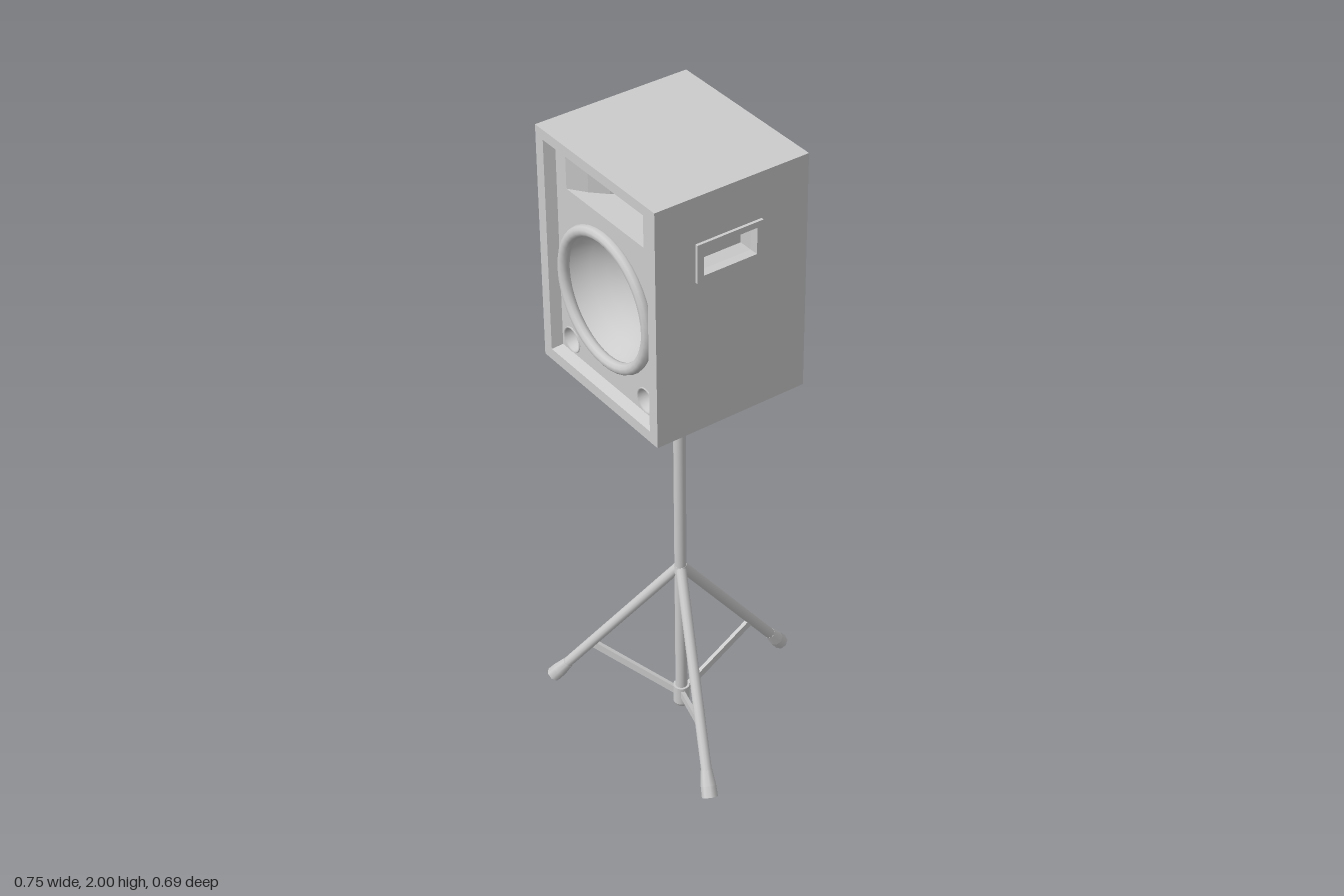
import * as THREE from 'three';

const material = new THREE.MeshStandardMaterial({ color: 0xcccccc, side: THREE.DoubleSide });

function add(parent, name, geometry, x = 0, y = 0, z = 0) {
  const mesh = new THREE.Mesh(geometry, material);
  mesh.name = name;
  mesh.position.set(x, y, z);
  parent.add(mesh);
  return mesh;
}

function rectPath(path, cx, cy, w, h) {
  path.moveTo(cx - w / 2, cy - h / 2);
  path.lineTo(cx + w / 2, cy - h / 2);
  path.lineTo(cx + w / 2, cy + h / 2);
  path.lineTo(cx - w / 2, cy + h / 2);
  path.closePath();
  return path;
}

// Flat panel with holes, thickness along +z
function panel(cx, cy, w, h, depth, holes) {
  const shape = rectPath(new THREE.Shape(), cx, cy, w, h);
  shape.holes.push(...holes);
  return new THREE.ExtrudeGeometry(shape, { depth, bevelEnabled: false, curveSegments: 24 });
}

const rectHole = (cx, cy, w, h) => rectPath(new THREE.Path(), cx, cy, w, h);
const roundHole = (cx, cy, r) => new THREE.Path().absarc(cx, cy, r, 0, Math.PI * 2, true);

// Rectangular funnel through sections [width, height, z], optionally closed at the end
function funnel(sections, closed) {
  const corners = sections.map(([w, h, z]) =>
    [[-1, -1], [1, -1], [1, 1], [-1, 1]].map(([i, j]) => [i * w / 2, j * h / 2, z]));
  const p = [];
  const quad = (a, b, c, d) => p.push(...a, ...b, ...c, ...a, ...c, ...d);
  for (let s = 0; s < corners.length - 1; s++) {
    for (let i = 0; i < 4; i++) {
      const j = (i + 1) % 4;
      quad(corners[s][j], corners[s][i], corners[s + 1][i], corners[s + 1][j]);
    }
  }
  if (closed) quad(...corners[corners.length - 1]);
  const g = new THREE.BufferGeometry();
  g.setAttribute('position', new THREE.Float32BufferAttribute(p, 3));
  g.computeVertexNormals();
  return g;
}

// Lathe facing +z from [radius, z] points
function dish(points, segments) {
  return new THREE.LatheGeometry(points.map(([r, z]) => new THREE.Vector2(r, z)), segments)
    .rotateX(Math.PI / 2);
}

// Cylinder or cone between two points
function rod(parent, name, a, b, ra, rb, sides = 12) {
  const dir = b.clone().sub(a);
  const mesh = add(parent, name, new THREE.CylinderGeometry(rb, ra, dir.length(), sides));
  mesh.position.copy(a).lerp(b, 0.5);
  mesh.quaternion.setFromUnitVectors(new THREE.Vector3(0, 1, 0), dir.normalize());
  return mesh;
}

const CX = -0.0225, W = 0.535, Y0 = 1.27, H = 0.73, CY = Y0 + H / 2;
const BACK = -0.135, FRONT = 0.35, D = FRONT - BACK, CZ = (FRONT + BACK) / 2;
const T = 0.015, BAFFLE = 0.32;
const HANDLE_Y = 1.803, HANDLE_Z = 0.12;

function createCabinet() {
  const g = new THREE.Group();
  g.name = 'cabinet';

  // Outer panels
  add(g, 'topPanel', new THREE.BoxGeometry(W, T, D), CX, Y0 + H - T / 2, CZ);
  add(g, 'bottomPanel', new THREE.BoxGeometry(W, T, D), CX, Y0 + T / 2, CZ);
  add(g, 'backPanel', new THREE.BoxGeometry(W, H, T), CX, CY, BACK + T / 2);
  for (const [name, x] of [['leftPanel', CX + W / 2 - T], ['rightPanel', CX - W / 2]]) {
    const side = panel(-CZ, CY, D, H, T, [rectHole(-HANDLE_Z, HANDLE_Y, 0.17, 0.08)]);
    add(g, name, side.rotateY(Math.PI / 2), x);
  }

  // Front frame with a sloped inner edge
  add(g, 'frontFrame', panel(CX, CY, W, H, 0.01, [rectHole(CX, 1.637, 0.466, 0.665)]), 0, 0, FRONT - 0.01);
  add(g, 'frameBevel', funnel([[0.466, 0.665, FRONT], [0.442, 0.642, BAFFLE]], false), CX, 1.637);

  // Baffle with openings for horn, woofer and ports
  const ports = [CX - 0.174, CX + 0.174];
  add(g, 'baffle', panel(CX, 1.637, 0.48, 0.68, 0.01, [
    rectHole(CX, 1.892, 0.35, 0.106),
    roundHole(CX, 1.585, 0.195),
    ...ports.map(x => roundHole(x, 1.357, 0.035)),
  ]), 0, 0, BAFFLE - 0.01);

  // Flared horn
  add(g, 'horn', funnel([
    [0.35, 0.106, 0], [0.25, 0.104, -0.035], [0.165, 0.102, -0.075],
    [0.11, 0.1, -0.12], [0.085, 0.098, -0.17],
  ], true), CX, 1.892, BAFFLE);

  // Woofer rim and cone
  const rim = new THREE.TorusGeometry(0.194, 0.017, 10, 40);
  add(g, 'wooferRim', rim, CX, 1.585, BAFFLE + 0.006);
  add(g, 'wooferCone', dish([
    [0.19, 0.005], [0.178, -0.025], [0.155, -0.055], [0.12, -0.085], [0.08, -0.105],
    [0.04, -0.117], [0, -0.12],
  ], 40), CX, 1.585, BAFFLE);

  // Round ports
  for (const x of ports) {
    add(g, 'port', dish([
      [0.039, 0], [0.037, 0.004], [0.034, 0], [0.03, -0.015], [0.018, -0.027], [0, -0.031],
    ], 20), x, 1.357, BAFFLE);
  }

  // Recessed side handles
  for (const s of [1, -1]) {
    const handle = new THREE.Group();
    handle.name = s > 0 ? 'leftHandle' : 'rightHandle';
    handle.position.set(CX + s * W / 2, HANDLE_Y, HANDLE_Z);
    handle.rotation.y = s * Math.PI / 2;
    add(handle, 'handleBezel', panel(0, 0, 0.21, 0.116, 0.009, [rectHole(0, 0, 0.17, 0.08)]));
    add(handle, 'handlePocket', funnel([[0.17, 0.08, 0.009], [0.165, 0.076, -0.015], [0.145, 0.055, -0.045]], true));
    g.add(handle);
  }
  return g;
}

function createStand() {
  const g = new THREE.Group();
  g.name = 'stand';
  g.position.set(CX, 0, 0.088);
  const v = (x, y, z = 0) => new THREE.Vector3(x, y, z);

  // Pole, top socket and lower hub
  rod(g, 'pole', v(0, 0.02), v(0, 1.2), 0.018, 0.018, 16);
  rod(g, 'socket', v(0, 1.1), v(0, 1.235), 0.024, 0.03, 16);
  rod(g, 'socketTop', v(0, 1.235), v(0, Y0), 0.031, 0.031, 16);
  rod(g, 'legCollar', v(0, 0.535), v(0, 0.56), 0.021, 0.019, 16);
  rod(g, 'hub', v(0, 0.028), v(0, 0.09), 0.025, 0.025, 16);
  rod(g, 'hubCap', v(0, 0.016), v(0, 0.028), 0.019, 0.025, 16);

  // Three legs with flared feet and flat braces
  const top = v(0.006, 0.55), tip = v(0.412, 0.015);
  const along = t => top.clone().lerp(tip, t);
  for (let i = 0; i < 3; i++) {
    const leg = new THREE.Group();
    leg.name = 'leg';
    leg.rotation.y = THREE.MathUtils.degToRad(95.7 - i * 120);
    rod(leg, 'legTube', top, along(0.95), 0.016, 0.016);
    rod(leg, 'footSleeve', along(0.88), along(0.95), 0.017, 0.023, 8);
    rod(leg, 'foot', along(0.95), tip, 0.023, 0.024, 8);
    const a = v(0.015, 0.062), b = along(0.69);
    const brace = add(leg, 'brace', new THREE.BoxGeometry(a.distanceTo(b), 0.024, 0.012));
    brace.position.copy(a).lerp(b, 0.5);
    brace.rotation.z = Math.atan2(b.y - a.y, b.x - a.x);
    g.add(leg);
  }
  return g;
}

export function createModel() {
  const model = new THREE.Group();
  model.name = 'speakerOnTripod';
  model.add(createCabinet(), createStand());
  return model;
}
